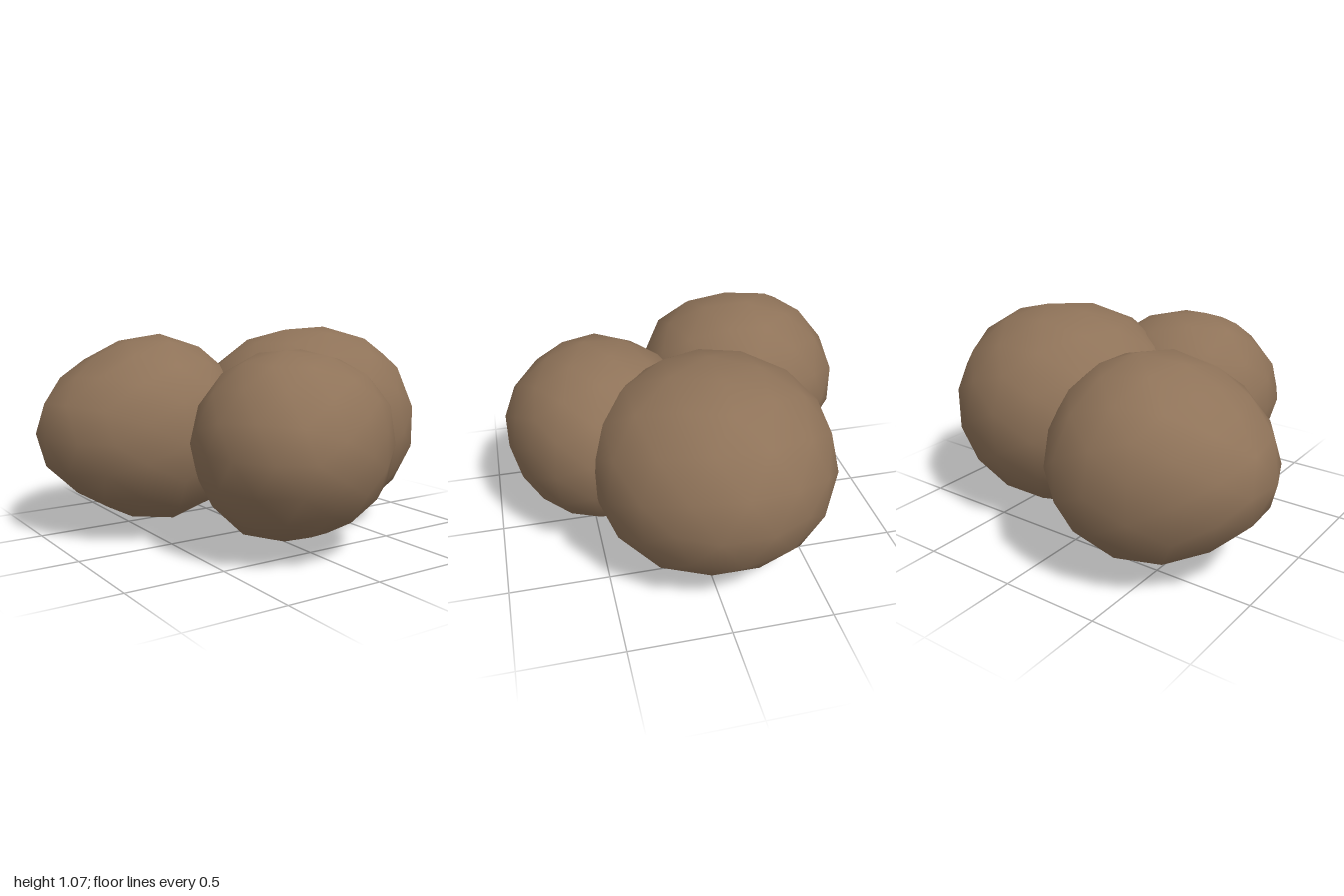
import * as THREE from 'three';
import { mergeVertices } from 'three/addons/utils/BufferGeometryUtils.js';

// Low-poly ball squashed to the given radii, with soft swellings and dents:
// each bump is [x, y, z, amount] along a direction
function boulderGeometry(radii, bumps, turn) {
  const ball = new THREE.IcosahedronGeometry(1, 2);
  ball.deleteAttribute('normal');
  ball.deleteAttribute('uv');
  ball.rotateY(turn);
  const geometry = mergeVertices(ball, 1e-4);
  const pos = geometry.attributes.position;
  const p = new THREE.Vector3();
  const dir = new THREE.Vector3();
  for (let i = 0; i < pos.count; i++) {
    p.fromBufferAttribute(pos, i).normalize();
    let r = 1.01;
    for (const [x, y, z, amount] of bumps) {
      dir.set(x, y, z).normalize();
      r += amount * Math.max(0, p.dot(dir)) ** 10;
    }
    pos.setXYZ(i, p.x * r * radii[0], p.y * r * radii[1], p.z * r * radii[2]);
  }
  geometry.computeVertexNormals();
  return geometry;
}

const boulders = [
  {
    name: 'largeBoulder', center: [0.38, 0.54, -0.06], radii: [0.62, 0.535, 0.6], turn: 0,
    bumps: [[0.75, 0.65, 0, 0.04], [0.7, -0.7, 0, -0.06], [0, 0.6, 0.8, 0.03], [-0.5, -0.85, 0, 0.03],
      [1, 0, 0, 0.03], [0.9, 0, -0.45, -0.03], [0.85, 0, 0.5, -0.04], [-0.25, 1, 0, -0.02]],
  },
  {
    name: 'backBoulder', center: [-0.44, 0.54, -0.39], radii: [0.56, 0.49, 0.54], turn: 0.3,
    bumps: [[-0.55, 0.8, 0, -0.13], [-0.55, -0.85, 0, -0.1], [0.2, 1, 0, 0.03], [0, -1, 0, 0.02],
      [0.75, 0, -0.5, -0.06], [0.5, 0, -0.85, 0.04], [-0.55, 0, -0.85, -0.07],
      [-0.55, 0, 0.85, -0.05], [-1, 0, 0, 0.03]],
  },
  {
    name: 'frontBoulder', center: [-0.06, 0.54, 0.43], radii: [0.495, 0.452, 0.49], turn: 0.6,
    bumps: [[-0.65, 0, 0.75, 0.08], [0.45, 0, 0.9, -0.06], [0.9, 0.5, 0.1, 0.08],
      [0.9, -0.35, 0.1, 0.03], [-0.5, -0.85, 0, 0.06], [-0.45, 0.85, 0, 0.04]],
  },
];

export function createModel() {
  const group = new THREE.Group();
  group.name = 'boulderCluster';
  const stone = new THREE.MeshStandardMaterial({ color: 0x8f7359 });
  for (const { name, center, radii, bumps, turn } of boulders) {
    const mesh = new THREE.Mesh(boulderGeometry(radii, bumps, turn), stone);
    mesh.name = name;
    mesh.position.set(...center);
    group.add(mesh);
  }
  return group;
}
